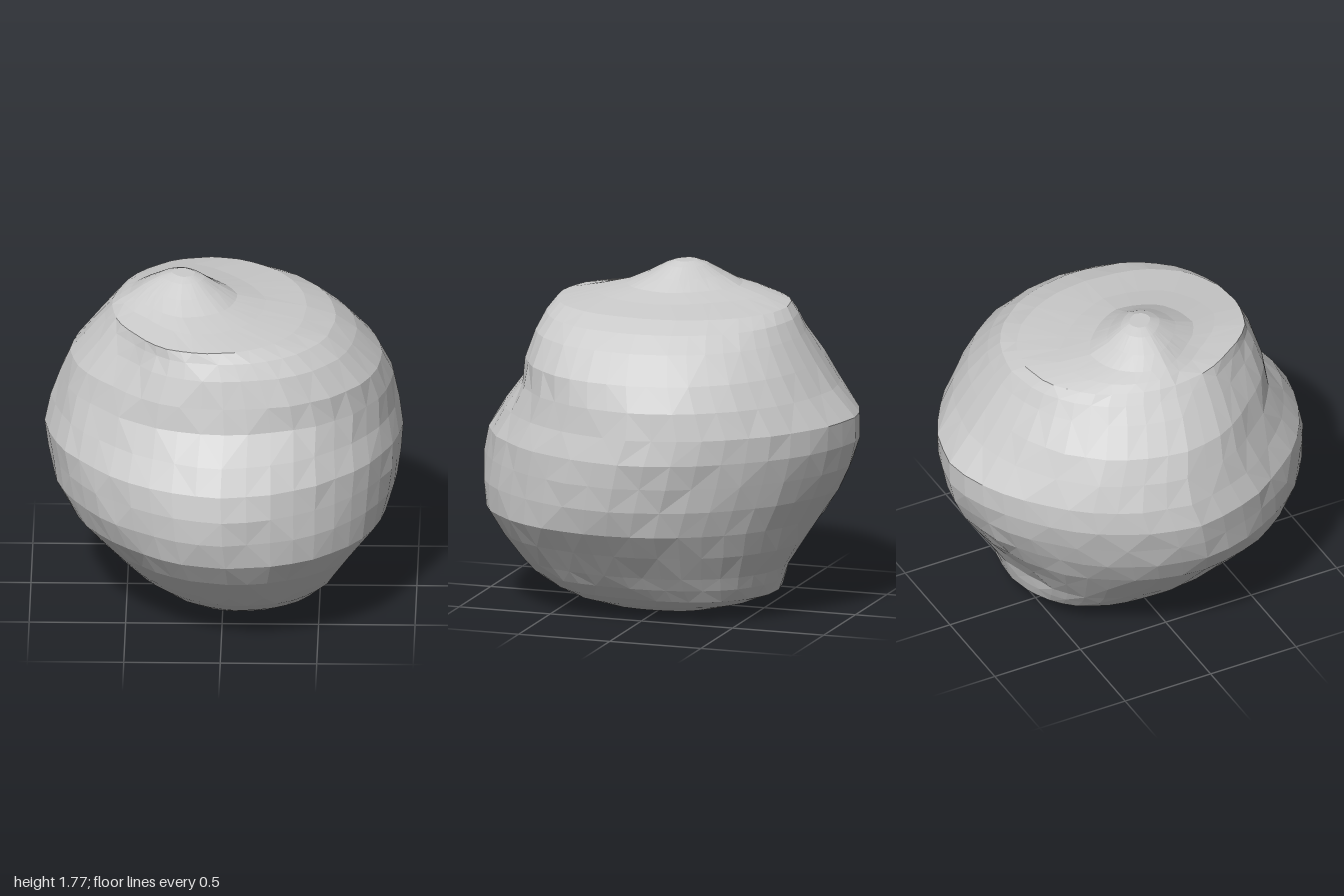
import * as THREE from 'three';

// Horizontal sections of the boulder: [height, x min, x max, z min, z max]
const SECTIONS = [
  [0.00, -0.14, 0.22, -0.18, 0.16],
  [0.03, -0.24, 0.37, -0.34, 0.34],
  [0.07, -0.33, 0.46, -0.49, 0.50],
  [0.12, -0.41, 0.54, -0.61, 0.60],
  [0.19, -0.49, 0.60, -0.64, 0.70],
  [0.26, -0.56, 0.65, -0.67, 0.77],
  [0.39, -0.68, 0.75, -0.75, 0.88],
  [0.52, -0.80, 0.85, -0.82, 0.97],
  [0.66, -0.88, 0.90, -0.91, 1.00],
  [0.79, -0.91, 0.92, -0.97, 1.00],
  [0.92, -0.93, 0.93, -1.00, 0.97],
  [1.05, -0.90, 0.91, -1.00, 0.89],
  [1.19, -0.85, 0.88, -0.88, 0.77],
  [1.32, -0.80, 0.82, -0.79, 0.74],
  [1.46, -0.69, 0.69, -0.70, 0.70],
  [1.54, -0.62, 0.58, -0.65, 0.66],
  [1.59, -0.58, 0.43, -0.60, 0.63],
  [1.62, -0.54, 0.22, -0.44, 0.46],
  [1.65, -0.49, 0.07, -0.29, 0.31],
  [1.70, -0.42, -0.02, -0.19, 0.20],
  [1.75, -0.33, -0.10, -0.11, 0.11],
  [1.77, -0.27, -0.15, -0.06, 0.06],
];
const SIDES = 44;

// Worn hollows: [x and z of the direction, height, half angle, half height, depth]
const HOLLOWS = [
  [-0.55, 0.45, 1.42, 0.35, 0.22, 0.09], // under the brow, front right
  [-0.20, -0.60, 0.30, 0.35, 0.16, 0.07], // beside the heel, at the back
];

// Roundness of a section in each quadrant; higher is more square
function squareness(y, left, front) {
  if (y > 1.6) return left === front ? 2.2 : 1.4; // crest runs diagonally
  const low = THREE.MathUtils.clamp((0.7 - y) / 0.5, 0, 1);
  const high = THREE.MathUtils.clamp((y - 1.05) / 0.25, 0, 1);
  const base = left && front ? 1.9 : 1.76;
  const foot = left ? 0.6 : front ? 0.1 : 0.5;
  return base + foot * low + (front ? 0.4 : 0.25) * high;
}

function wear(angle, y) {
  return HOLLOWS.reduce((k, [x, z, height, width, tall, depth]) => {
    const turn = angle - Math.atan2(z, x);
    const da = Math.atan2(Math.sin(turn), Math.cos(turn)) / width;
    const dy = (y - height) / tall;
    return k - depth * Math.exp(-da * da - dy * dy);
  }, 1);
}

// Repeatable small dents
function dent(i, j) {
  const s = Math.sin(i * 12.99 + j * 78.23) * 4375.85;
  return 1 - 0.014 * (s - Math.floor(s));
}

function boulderGeometry() {
  const positions = [], index = [];
  SECTIONS.forEach(([y, x0, x1, z0, z1], i) => {
    const cx = (x0 + x1) / 2, cz = (z0 + z1) / 2;
    for (let j = 0; j < SIDES; j++) {
      const a = (j / SIDES) * Math.PI * 2;
      const c = Math.cos(a), s = Math.sin(a);
      const n = squareness(y, c > 0, s > 0);
      const r = Math.pow(Math.abs(c) ** n + Math.abs(s) ** n, -1 / n);
      const k = r * wear(a, y) * (j % 11 ? dent(i, j) : 1);
      positions.push(cx + c * k * (x1 - x0) / 2, y, cz + s * k * (z1 - z0) / 2);
    }
  });
  // Skin between neighbouring sections
  for (let i = 0; i < SECTIONS.length - 1; i++) {
    for (let j = 0; j < SIDES; j++) {
      const a = i * SIDES + j, b = i * SIDES + (j + 1) % SIDES;
      const c = a + SIDES, d = b + SIDES;
      if ((i + j) % 2) index.push(a, c, b, b, c, d);
      else index.push(a, c, d, a, d, b);
    }
  }
  // Caps at the foot and the peak
  const foot = positions.length / 3, peak = foot + 1;
  positions.push(0.04, 0, -0.01, -0.21, 1.77, 0);
  const top = (SECTIONS.length - 1) * SIDES;
  for (let j = 0; j < SIDES; j++) {
    const next = (j + 1) % SIDES;
    index.push(foot, j, next, peak, top + next, top + j);
  }
  const geometry = new THREE.BufferGeometry();
  geometry.setAttribute('position', new THREE.Float32BufferAttribute(positions, 3));
  geometry.setIndex(index);
  geometry.computeVertexNormals();
  return geometry;
}

export function createModel() {
  const group = new THREE.Group();
  group.name = 'rock';
  const boulder = new THREE.Mesh(
    boulderGeometry(),
    new THREE.MeshStandardMaterial({ color: 0xcccccc, flatShading: true })
  );
  boulder.name = 'boulder';
  group.add(boulder);
  return group;
}
